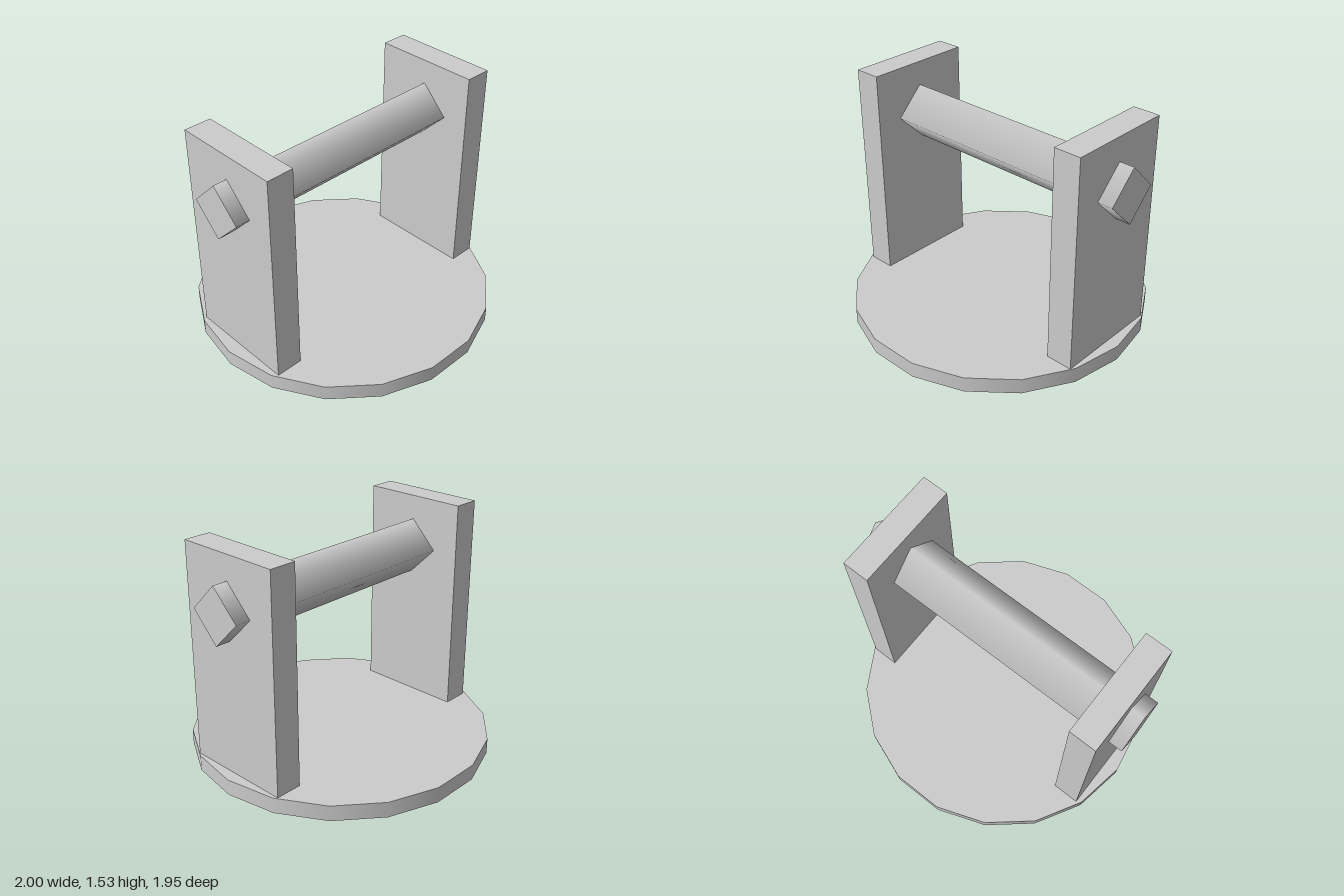
import * as THREE from 'three';

export function createModel() {
  const model = new THREE.Group();
  const material = new THREE.MeshStandardMaterial({ color: 0xcccccc });

  const add = (name, geometry, x, y, z) => {
    const mesh = new THREE.Mesh(geometry, material);
    mesh.name = name;
    mesh.position.set(x, y, z);
    model.add(mesh);
    return mesh;
  };

  // Round base: 18 sides, with a corner on the x axis
  const baseHeight = 0.105;
  add('base',
    new THREE.CylinderGeometry(0.99, 0.99, baseHeight, 18, 1, false, Math.PI / 2),
    -0.01, baseHeight / 2, -0.002);

  // Two upright plates standing on the base
  const plateHeight = 1.53 - baseHeight;
  for (const [name, x] of [['leftUpright', 0.81], ['rightUpright', -0.818]]) {
    add(name, new THREE.BoxGeometry(0.18, plateHeight, 0.726),
      x, baseHeight + plateHeight / 2, 0.003);
  }

  // Four-sided crossbar set on edge, running through both plates
  const bar = add('crossbar', new THREE.CylinderGeometry(0.185, 0.185, 2, 4), 0, 1.185, 0.005);
  bar.rotation.z = Math.PI / 2;

  return model;
}
